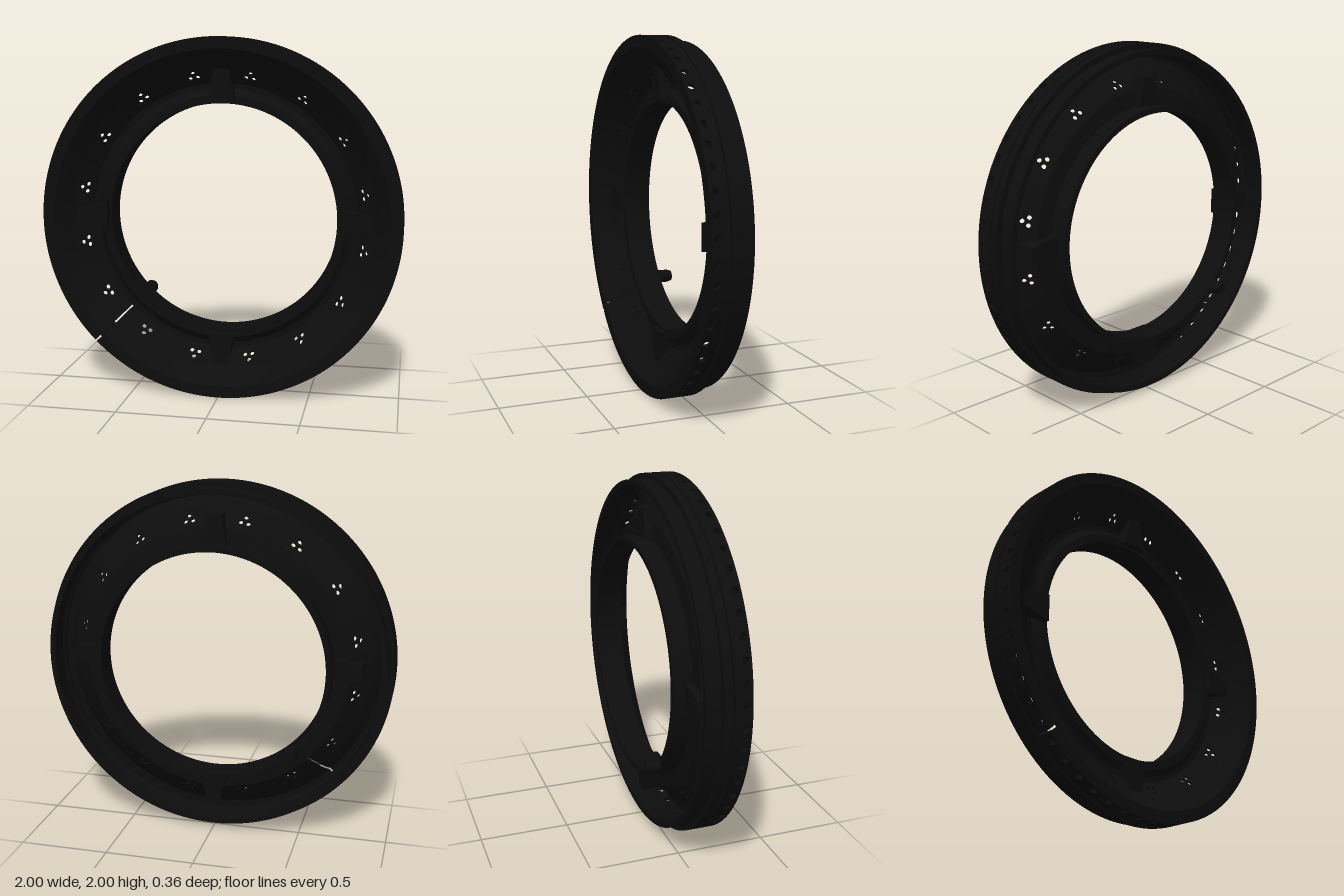
import * as THREE from 'three';
import { mergeGeometries, toCreasedNormals } from 'three/addons/utils/BufferGeometryUtils.js';

const TAU = Math.PI * 2;
const SLIT = TAU * 0.625; // angle of the narrow split in the ring
const GAP = 0.006;        // half of its angular width

export function createModel() {
  const model = new THREE.Group();
  const ring = new THREE.Group();
  ring.name = 'ring';
  ring.position.y = 1;
  model.add(ring);
  const black = new THREE.MeshStandardMaterial({ color: 0x0d0d0d });
  black.name = 'black';

  const add = (name, geometry) => {
    const mesh = new THREE.Mesh(toCreasedNormals(geometry, 0.5), black);
    mesh.name = name;
    ring.add(mesh);
    return mesh;
  };

  // Turns a closed (radius, z) section around the z axis, optionally leaving the split open
  const turned = (profile, gap = 0, segments = 128) => {
    const points = [...profile, profile[0]].map(([r, z]) => new THREE.Vector2(r, z));
    return new THREE.LatheGeometry(points, segments, -Math.PI / 4 + gap, TAU - 2 * gap).rotateX(Math.PI / 2);
  };

  // Rectangular plate with round holes, drawn flat and later bent by a rule
  const plate = (width, height, depth, holes, radius) => {
    const shape = new THREE.Shape();
    const steps = 8;
    for (let i = 0; i <= steps; i++) {
      const x = (i / steps - 0.5) * width;
      if (i) shape.lineTo(x, 0); else shape.moveTo(x, 0);
    }
    for (let i = steps; i >= 0; i--) shape.lineTo((i / steps - 0.5) * width, height);
    for (const [x, y] of holes) {
      const hole = new THREE.Path();
      hole.absarc(x, y, radius, 0, TAU, true);
      shape.holes.push(hole);
    }
    return new THREE.ExtrudeGeometry(shape, { depth, bevelEnabled: false, curveSegments: 6 });
  };

  // Repeats a plate around the ring; rule(u, v, w) gives [angle, radius, z]
  const bentRing = (count, source, rule) => {
    const cells = [];
    for (let k = 0; k < count; k++) {
      const centre = ((k + 0.5) / count) * TAU;
      const cell = source.clone();
      const p = cell.attributes.position;
      for (let i = 0; i < p.count; i++) {
        const [da, r, z] = rule(p.getX(i), p.getY(i), p.getZ(i));
        let a = centre + da;
        if (Math.abs(a - SLIT) < GAP) a = centre < SLIT ? SLIT - GAP : SLIT + GAP;
        p.setXYZ(i, r * Math.cos(a), r * Math.sin(a), z);
      }
      cells.push(cell);
    }
    return mergeGeometries(cells);
  };

  // Rear drum with its step and the narrow groove in the rim
  add('groovedDrum', turned([
    [0.94, -0.055], [0.97, -0.055], [0.97, 0.03], [1, 0.03], [1, 0.075], [0.935, 0.075],
    [0.935, 0.085], [1, 0.085], [1, 0.09], [0.925, 0.09], [0.925, 0.07], [0.94, 0.06],
  ]));

  // Front lip curving into the dish
  add('frontRim', turned([
    [0.85, 0.088], [0.885, 0.12], [0.92, 0.165], [0.985, 0.168],
    [0.985, 0.18], [0.935, 0.18], [0.89, 0.143], [0.85, 0.1],
  ], GAP));

  // Outer wall pierced by a row of round holes
  const wallCells = 56;
  const wallCell = plate(TAU / wallCells, 0.092, 0.02, [[0, 0.06]], 0.02);
  add('piercedWall', bentRing(wallCells, wallCell, (u, v, w) => [u, 0.98 + w, 0.088 + v]));

  // Sloping dish with sixteen clusters of three holes
  const from = [0.75, 0.02], to = [0.85, 0.1];
  const length = Math.hypot(to[0] - from[0], to[1] - from[1]);
  const c = (to[0] - from[0]) / length, s = (to[1] - from[1]) / length;
  const clusters = [[-0.021, 0.05], [0.021, 0.05], [0, 0.085]];
  const dishCell = plate((TAU / 16) * 0.8, length, 0.012, clusters, 0.0125);
  add('dish', bentRing(16, dishCell, (u, v, w) => [
    -u / 0.8, from[0] + v * c - (w - 0.012) * s, from[1] + v * s + (w - 0.012) * c,
  ]));

  // Inner tube with its raised collar
  add('innerTube', turned([
    [0.64, -0.105], [0.67, -0.105], [0.67, 0], [0.76, 0.008],
    [0.755, 0.02], [0.72, 0.02], [0.685, 0.05], [0.64, 0.05],
  ]));

  // Four tapered blocks bridging the dish and the collar
  const wedge = new THREE.Shape([[-0.075, 0.655], [0.075, 0.655], [0.042, 0.83], [-0.042, 0.83]]
    .map(([x, y]) => new THREE.Vector2(x, y)));
  for (let i = 0; i < 4; i++) {
    const block = add('bridgeBlock', new THREE.ExtrudeGeometry(wedge, { depth: 0.125, bevelEnabled: false }));
    block.position.z = -0.04;
    block.rotation.z = (i * Math.PI) / 2;
  }

  // Clamping knob behind the split
  const knob = add('clampKnob', turned([
    [0, -0.18], [0.03, -0.18], [0.038, -0.155], [0.038, -0.1], [0, -0.1],
  ], 0, 16));
  knob.position.set(-0.465, -0.46, 0);

  return model;
}
